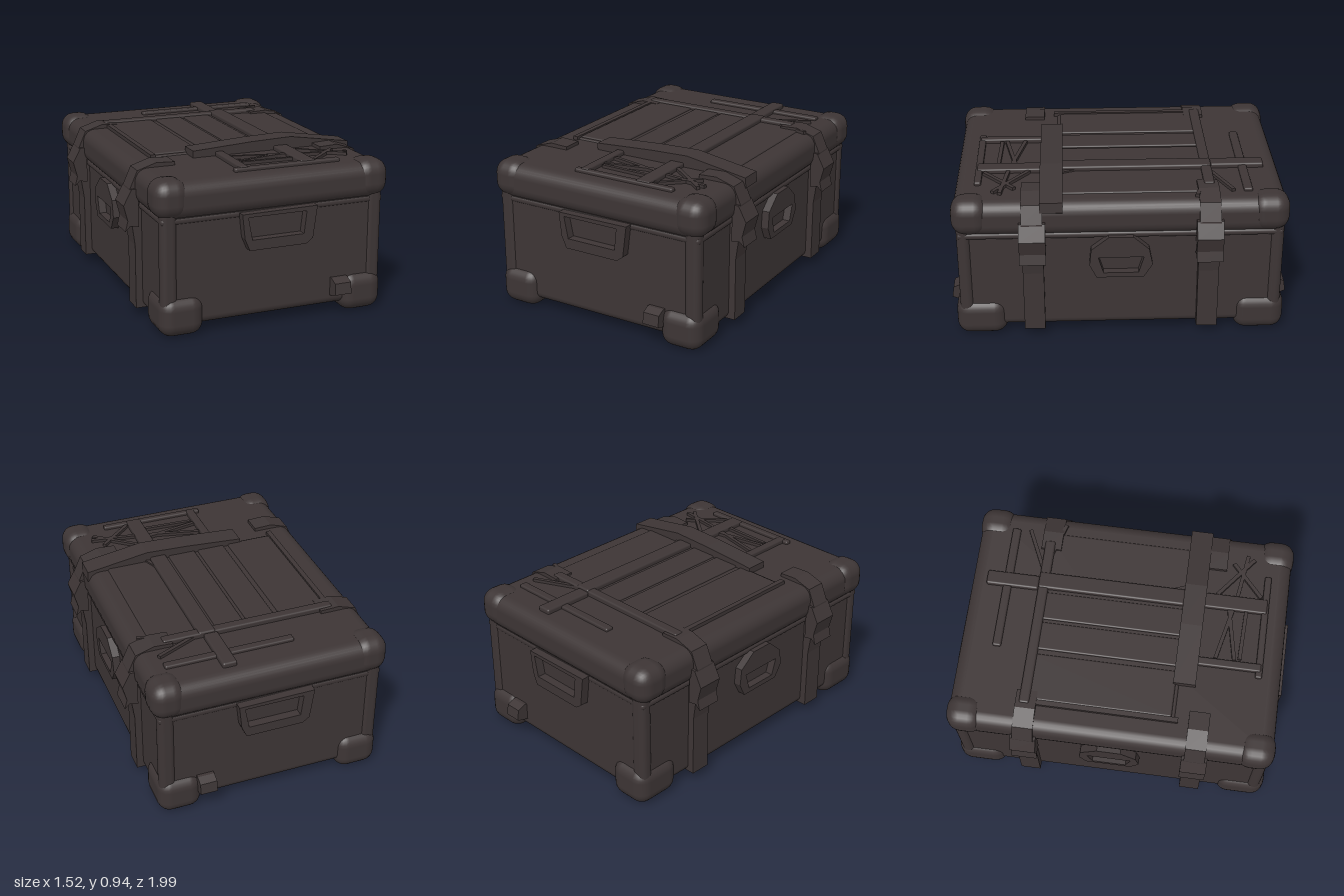
import * as THREE from 'three';
import { RoundedBoxGeometry } from 'three/addons/geometries/RoundedBoxGeometry.js';

const leather = new THREE.MeshStandardMaterial({ color: 0x3d3535 });
leather.name = 'dark leather';

export function createModel() {
  const model = new THREE.Group();
  model.name = 'travelTrunk';

  const add = (name, geometry, parent = model) => {
    const mesh = new THREE.Mesh(geometry, leather);
    mesh.name = name;
    parent.add(mesh);
    return mesh;
  };
  // Box from its limits; a radius gives soft edges
  const box = (name, [x0, x1], [y0, y1], [z0, z1], r = 0) => {
    const s = [x1 - x0, y1 - y0, z1 - z0];
    const g = r ? new RoundedBoxGeometry(...s, 3, r) : new THREE.BoxGeometry(...s);
    const mesh = add(name, g);
    mesh.position.set((x0 + x1) / 2, (y0 + y1) / 2, (z0 + z1) / 2);
    return mesh;
  };
  const polygon = pts => new THREE.Shape(pts.map(p => new THREE.Vector2(...p)));
  const extrude = (shape, depth) => new THREE.ExtrudeGeometry(shape, { depth, bevelEnabled: false });
  // Mirrors a span to the other side of zero
  const span = (a, b, s) => (s > 0 ? [a, b] : [-b, -a]);

  // Case body and padded lid
  box('body', [-0.65, 0.65], [0.075, 0.8], [-0.92, 0.92], 0.045);
  box('lid', [-0.685, 0.685], [0.68, 0.89], [-0.945, 0.945], 0.075);
  box('lidSeam', [-0.665, 0.665], [0.66, 0.7], [-0.925, 0.925], 0.018);

  for (const sx of [-1, 1]) for (const sz of [-1, 1]) {
    // Bulging corner guards and the lid corner caps
    box('cornerGuard', span(0.42, 0.675, sx), span(0.02, 0.25, 1), span(0.66, 0.955, sz), 0.075);
    box('lidCorner', span(0.5, 0.7, sx), [0.69, 0.905], span(0.74, 0.955, sz), 0.08);
    box('uprightEdge', span(0.57, 0.665, sx), [0.15, 0.75], span(0.85, 0.93, sz), 0.035);

    // Side strap folded over the lid, with its buckle
    const fastening = new THREE.Group();
    fastening.name = 'sideFastening';
    fastening.position.z = sz * 0.5;
    if (sx < 0) fastening.rotation.y = Math.PI;
    model.add(fastening);
    const strap = polygon([
      [0.62, 0.075], [0.69, 0.075], [0.69, 0.45], [0.71, 0.6], [0.715, 0.78],
      [0.67, 0.88], [0.56, 0.915], [0.45, 0.91], [0.45, 0.87], [0.6, 0.8],
    ]);
    add('sideStrap', extrude(strap, 0.12), fastening).position.z = -0.06;
    const buckle = polygon([
      [0.67, 0.56], [0.72, 0.57], [0.75, 0.54], [0.735, 0.6], [0.758, 0.69], [0.71, 0.78], [0.67, 0.78],
    ]);
    add('buckle', extrude(buckle, 0.15), fastening).position.z = -0.075;
  }

  // Carry handles: a tapered frame round a recess
  const handle = (name, outer, inner, reach, depth, turn) => {
    const shape = polygon(outer);
    shape.holes.push(polygon(inner));
    const group = new THREE.Group();
    group.name = name;
    group.rotation.y = turn;
    model.add(group);
    add('handleFrame', extrude(shape, depth), group).position.z = reach - depth;
  };
  const endOuter = [[-0.17, 0.48], [0.17, 0.48], [0.21, 0.51], [0.235, 0.695], [-0.215, 0.69], [-0.2, 0.55]];
  const endInner = [[-0.155, 0.54], [-0.18, 0.67], [0.17, 0.67], [0.155, 0.54]];
  const sideOuter = [[-0.14, 0.42], [0.13, 0.42], [0.18, 0.5], [0.16, 0.6], [0.07, 0.68], [-0.07, 0.68], [-0.17, 0.6], [-0.18, 0.5]];
  const sideInner = [[-0.1, 0.45], [-0.13, 0.55], [0.13, 0.55], [0.1, 0.45]];
  for (const s of [0, 1]) {
    handle('endHandle', endOuter, endInner, 0.97, 0.06, s * Math.PI);
    handle('sideHandle', sideOuter, sideInner, 0.695, 0.05, Math.PI / 2 + s * Math.PI);
  }

  // Small catches low on both ends
  for (const s of [-1, 1]) {
    const catchShape = polygon([[0.9, 0.13], [0.96, 0.14], [0.995, 0.155], [0.985, 0.22], [0.94, 0.24], [0.9, 0.24]]);
    const mesh = add('endCatch', extrude(catchShape, 0.1));
    mesh.rotation.y = -s * Math.PI / 2;
    mesh.position.x = s > 0 ? 0.45 : 0.35;
  }

  // Raised lid panel with long slats
  box('lidPanel', [-0.52, 0.56], [0.87, 0.898], [-0.54, 0.36], 0.012);
  for (const [x0, x1] of [[-0.5, -0.22], [-0.19, -0.02], [0, 0.17]])
    box('slat', [x0, x1], [0.88, 0.908], [-0.52, 0.34], 0.01);
  box('longStrap', [0.19, 0.29], [0.88, 0.925], [-0.54, 0.33], 0.012);
  box('panelEdge', [-0.53, -0.5], [0.88, 0.912], [-0.5, 0.38]);
  box('rearCrossStrap', [-0.53, 0.5], [0.88, 0.92], [-0.54, -0.48], 0.012);
  box('rearTrim', [-0.2, 0.56], [0.87, 0.908], [-0.75, -0.7], 0.01);
  box('rearTab', [0.18, 0.265], [0.87, 0.918], [-0.85, -0.54], 0.012);

  // Arched strap across the front of the lid
  const arch = polygon([
    [-0.3, 0.88], [0.25, 0.88], [0.66, 0.82], [0.69, 0.84], [0.685, 0.9], [0.31, 0.96], [0.06, 0.952], [-0.3, 0.93],
  ]);
  add('frontCrossStrap', extrude(arch, 0.13)).position.z = 0.325;

  // Front lid harness and loose cords
  for (const [x0, x1] of [[-0.165, -0.115], [0.2, 0.29]])
    box('harnessStrap', [x0, x1], [0.87, 0.916], [0.45, 0.82], 0.01);
  box('harnessBar', [-0.2, 0.44], [0.87, 0.91], [0.79, 0.83], 0.01);
  const cords = [
    [-0.11, 0.55, 0.2, 0.62], [-0.11, 0.66, 0.2, 0.6], [-0.1, 0.69, 0.2, 0.7],
    [0.29, 0.52, 0.54, 0.72], [0.29, 0.64, 0.56, 0.68], [0.3, 0.78, 0.5, 0.6],
    [0.29, -0.53, 0.62, -0.43], [0.3, -0.52, 0.56, -0.64], [0.22, 0.1, 0.31, 0.33],
  ];
  for (const [x0, z0, x1, z1] of cords) {
    const cord = add('cord', new THREE.BoxGeometry(Math.hypot(x1 - x0, z1 - z0), 0.03, 0.022));
    cord.position.set((x0 + x1) / 2, 0.893, (z0 + z1) / 2);
    cord.rotation.y = -Math.atan2(z1 - z0, x1 - x0);
  }
  return model;
}
